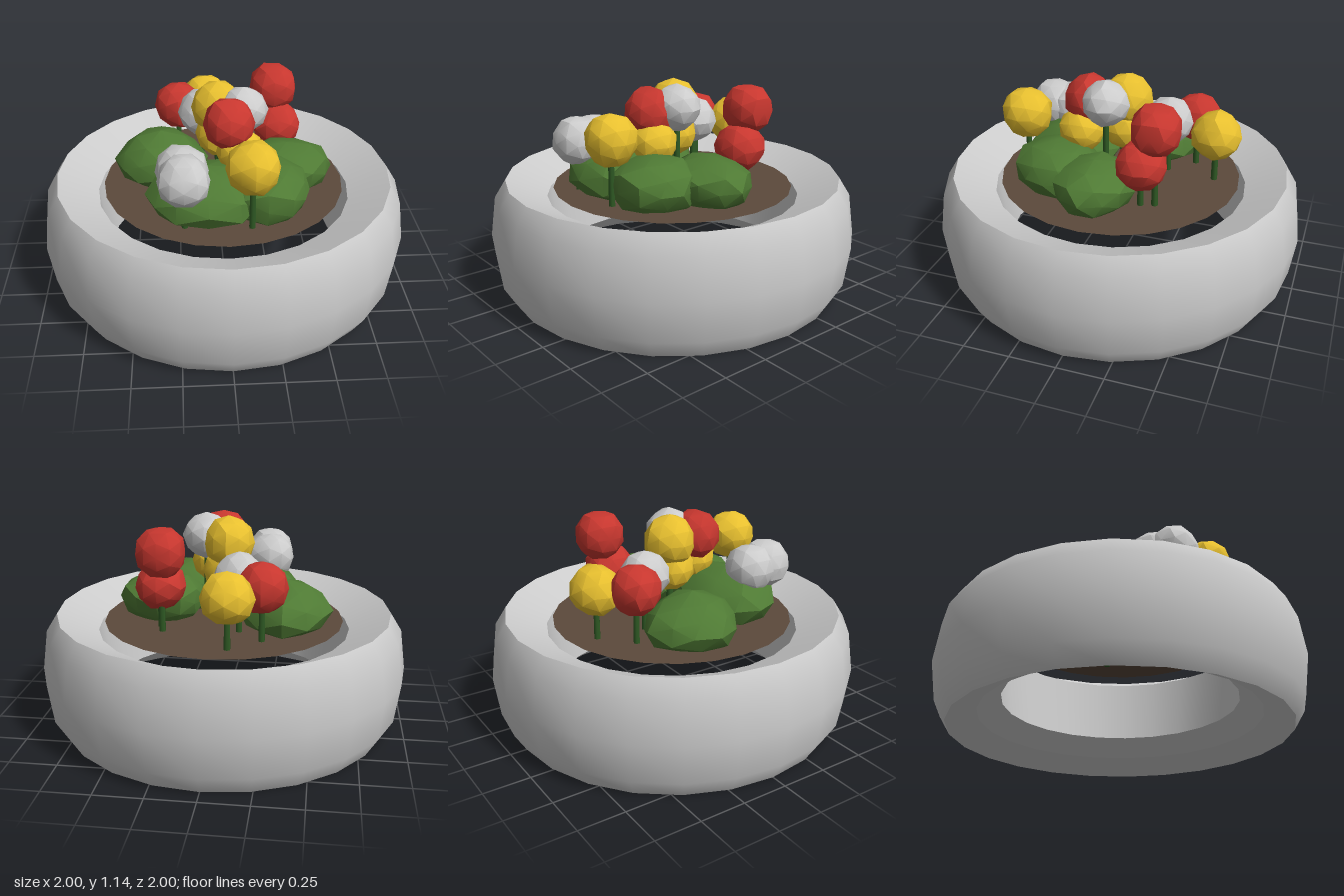
import * as THREE from 'three';
import { toCreasedNormals } from 'three/addons/utils/BufferGeometryUtils.js';

const SOIL_Y = 0.57;
const paint = (color, side = THREE.FrontSide) => new THREE.MeshStandardMaterial({ color, side });

function add(parent, name, geometry, material, x = 0, y = 0, z = 0) {
  const mesh = new THREE.Mesh(geometry, material);
  mesh.name = name;
  mesh.position.set(x, y, z);
  parent.add(mesh);
  return mesh;
}

// Low-poly ball whose vertices are pushed in and out by a repeatable rule
function lumpyBall(rx, ry, rz, seed, rough) {
  const geo = new THREE.IcosahedronGeometry(1, 1);
  const pos = geo.attributes.position;
  const v = new THREE.Vector3();
  for (let i = 0; i < pos.count; i++) {
    v.fromBufferAttribute(pos, i);
    const wave = Math.sin(v.x * 5.1 + seed * 1.7) + Math.sin(v.y * 4.3 + seed * 2.9) + Math.sin(v.z * 5.7 + seed * 0.8);
    v.multiplyScalar(1 + rough * wave / 3);
    pos.setXYZ(i, v.x * rx, v.y * ry, v.z * rz);
  }
  return toCreasedNormals(geo, 0.5);
}

export function createModel() {
  const model = new THREE.Group();
  model.name = 'tyrePlanter';
  const rubber = paint(0xcccccc);
  const soil = paint(0x5c4a3c, THREE.DoubleSide);
  const leaf = paint(0x4f7a34);
  const stalk = paint(0x2f5a24);
  const petals = { red: paint(0xc8372f), yellow: paint(0xe8c02f), white: paint(0xcccccc) };

  // Tyre: one smooth lathe per band, with hard edges between the bands
  const tyre = new THREE.Group();
  tyre.name = 'tyre';
  model.add(tyre);
  const bands = {
    tread: [[0.91, 0], [0.97, 0.1], [1, 0.315], [0.97, 0.53], [0.91, 0.625]],
    topSidewall: [[0.91, 0.625], [0.69, 0.525]],
    innerWall: [[0.69, 0.525], [0.635, 0.165]],
    innerLip: [[0.635, 0.165], [0.755, 0.075]],
    bottomSidewall: [[0.755, 0.075], [0.91, 0]],
  };
  for (const [name, points] of Object.entries(bands)) {
    const profile = points.map(([r, y]) => new THREE.Vector2(r, y));
    add(tyre, name, new THREE.LatheGeometry(profile, 24), rubber);
  }

  // Soil disc
  add(model, 'soil', new THREE.CircleGeometry(0.655, 24).rotateX(-Math.PI / 2), soil, 0, SOIL_Y, 0);

  // Bushes: x, z, half width, half depth, half height
  const bushes = [
    [-0.34, -0.1, 0.25, 0.25, 0.155],
    [0.34, 0.03, 0.24, 0.22, 0.145],
    [-0.1, 0.29, 0.31, 0.25, 0.16],
    [0.2, 0.28, 0.25, 0.23, 0.16],
  ];
  bushes.forEach(([x, z, w, d, h], i) =>
    add(model, 'bush', lumpyBall(w, h, d, i + 1, 0.1), leaf, x, 0.66, z));

  // Flowers: colour, x, y, z of the bloom and its radius
  const flowers = [
    ['yellow', -0.08, 0.835, -0.51, 0.137],
    ['red', -0.24, 0.855, -0.37, 0.133],
    ['white', -0.11, 0.87, -0.24, 0.133],
    ['red', 0.29, 0.995, -0.28, 0.135],
    ['red', 0.31, 0.8, -0.21, 0.135],
    ['yellow', -0.03, 1.0, -0.03, 0.14],
    ['white', 0.1, 1.015, 0.05, 0.128],
    ['red', 0.02, 0.995, 0.17, 0.135],
    ['yellow', 0.08, 0.84, 0.19, 0.125],
    ['yellow', -0.02, 0.85, -0.02, 0.13],
    ['white', -0.23, 0.83, 0.36, 0.138],
    ['white', -0.22, 0.84, 0.47, 0.135],
    ['yellow', 0.12, 0.915, 0.49, 0.138],
  ];
  flowers.forEach(([color, x, y, z, r], i) => {
    const flower = new THREE.Group();
    flower.name = 'flower';
    flower.position.set(x, 0, z);
    model.add(flower);
    const foot = SOIL_Y - 0.03;
    add(flower, 'stem', new THREE.CylinderGeometry(0.016, 0.018, y - foot, 6), stalk, 0, (y + foot) / 2, 0);
    add(flower, 'bloom', lumpyBall(r, r, r, i + 3, 0.06), petals[color], 0, y, 0);
  });

  return model;
}
